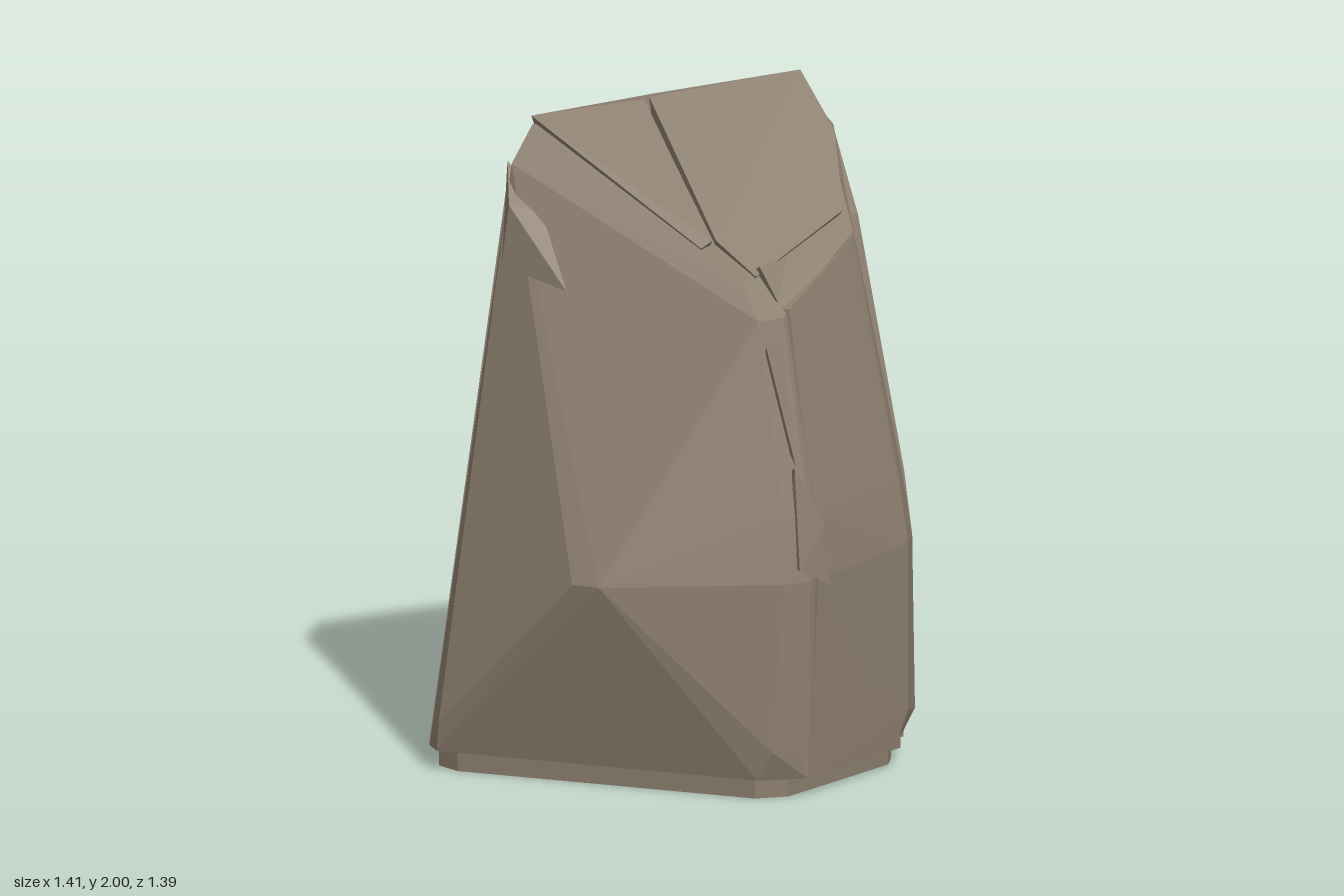
import * as THREE from 'three';
import { ConvexGeometry } from 'three/addons/geometries/ConvexGeometry.js';

const stone = new THREE.MeshStandardMaterial({ color: 0x8a7d6d, flatShading: true });
stone.name = 'stone brown';

const V = (x, y, z) => new THREE.Vector3(x, y, z);

// Two points either side of a ridge, giving it a narrow bevel
function bevel({ x, y, z }, w = 0.045) {
  const r = Math.hypot(x, z), dx = (-z / r) * w, dz = (x / r) * w;
  return [V(x + dx, y, z + dz), V(x - dx, y, z - dz)];
}

// Faceted chunk around a handful of corners
function chunk(name, points) {
  const mesh = new THREE.Mesh(new ConvexGeometry(points), stone);
  mesh.name = name;
  return mesh;
}

// Surface slab: outer corners plus copies sunk toward the middle
function slab(name, corners, sink) {
  const middle = V(0.1, 1.1, -0.1);
  return chunk(name, [...corners, ...corners.map(p => p.clone().lerp(middle, sink))]);
}

// Slightly raised face between two ridges, leaving the ridges as recessed bands
function panel(name, ridgeA, ridgeB) {
  const inset = 0.065, lift = 0.03, depth = 0.08, points = [];
  ridgeA.forEach((a, i) => {
    const b = ridgeB[i], t = inset / a.distanceTo(b);
    const out = V(a.z - b.z, 0, b.x - a.x).normalize();
    if (out.x * (a.x + b.x) + out.z * (a.z + b.z) < 0) out.negate();
    for (const s of [t, 1 - t]) {
      const p = a.clone().lerp(b, s);
      points.push(p.clone().addScaledVector(out, lift), p.clone().addScaledVector(out, -depth));
    }
  });
  return chunk(name, points);
}

// Ridge lines, bottom to top
const ridges = {
  front: [V(-0.2, 0.06, 0.665), V(-0.17, 0.66, 0.67), V(-0.14, 0.85, 0.635), V(-0.08, 1.42, 0.46)],
  frontRight: [V(0.38, 0.06, 0.56), V(0.42, 0.68, 0.54), V(0.42, 0.86, 0.5), V(0.39, 1.6, 0.32)],
  right: [V(0.54, 0.06, -0.02), V(0.67, 0.52, -0.01), V(0.7, 0.87, -0.04), V(0.63, 1.82, -0.06)],
  backRight: [V(0.25, 0.06, -0.43), V(0.41, 0.5, -0.48), V(0.57, 1.43, -0.55)],
  back: [V(-0.24, 0.06, -0.635), V(-0.13, 0.35, -0.655), V(0.11, 1.43, -0.685)],
  left: [V(-0.69, 0.06, -0.365), V(-0.623, 0.35, -0.376), V(-0.29, 1.79, -0.43)],
};

export function createModel() {
  const rock = new THREE.Group();
  rock.name = 'rock';

  // Main body: bevelled ridges, chipped bottom corners, shoulders under the crown
  rock.add(chunk('body', [
    ...ridges.front.slice(1).flatMap(p => bevel(p)),
    ...ridges.frontRight.slice(1).flatMap(p => bevel(p)),
    ...ridges.right.flatMap(p => bevel(p)),
    ...ridges.backRight.flatMap(p => bevel(p, 0.035)),
    ...ridges.back.flatMap(p => bevel(p)),
    ...ridges.left.flatMap(p => bevel(p, 0.04)),
    V(-0.15, 0.06, 0.695), V(-0.28, 0.06, 0.61), V(-0.26, 0.15, 0.655), V(-0.18, 0.15, 0.685),
    V(0.29, 0.06, 0.607), V(0.36, 0.17, 0.595), V(0.45, 0.15, 0.53), V(0.45, 0.06, 0.47),
    ...bevel(V(-0.07, 1.51, 0.37), 0.03), V(0.5, 1.81, 0.11), V(0.635, 1.88, -0.1),
    V(0.57, 1.87, -0.1), V(0.5, 1.52, -0.565), V(0.12, 1.54, -0.64), V(-0.71, 0.15, -0.32),
    ...bevel(V(-0.6, 0.64, 0.2)), V(-0.23, 1.895, -0.415),
  ]));

  // Raised faces between the ridges
  rock.add(panel('frontFace', ridges.front, ridges.frontRight));
  rock.add(panel('rightFace', ridges.frontRight, ridges.right));
  rock.add(panel('backFace', ridges.backRight, ridges.back));
  rock.add(panel('backLeftFace', ridges.back, ridges.left));

  // Undercut foot
  const foot = [[-0.18, 0.64], [-0.27, 0.59], [0.32, 0.55], [0.39, 0.49], [0.47, 0.02],
    [0.22, -0.4], [-0.25, -0.55], [-0.66, -0.37], [-0.67, -0.28]];
  rock.add(chunk('foot', foot.flatMap(([x, z]) => [V(x, 0, z), V(x, 0.08, z)])));

  // Crown slabs, with a crack left open between the two front ones
  const peakLeft = V(-0.23, 1.92, -0.42), peakRight = V(0.53, 2, -0.05);
  rock.add(slab('crownLeft', [peakLeft, V(0.09, 1.95, -0.27), V(-0.085, 1.62, 0.21),
    V(-0.12, 1.6, 0.2)], 0.2));
  rock.add(slab('crownRight', [V(0.105, 1.957, -0.265), V(-0.073, 1.62, 0.215),
    V(-0.05, 1.53, 0.365), V(0.36, 1.66, 0.315), V(0.5, 1.85, 0.13), peakRight], 0.14));
  rock.add(slab('crownBack', [peakLeft, V(0.1, 1.955, -0.27), peakRight, V(0.55, 1.88, -0.14),
    V(0.53, 1.54, -0.555), V(0.48, 1.54, -0.58), V(0.13, 1.57, -0.65), V(0.08, 1.59, -0.63)], 0.08));

  // Raised splinters along the ridges
  rock.add(chunk('leftSplinter', [V(-0.38, 1.68, -0.36), V(-0.3, 1.79, -0.45), V(-0.32, 1.66, -0.28),
    V(-0.39, 1.46, -0.1), V(-0.41, 1.5, -0.36), V(-0.25, 1.5, -0.3)]));
  rock.add(chunk('frontSplinter', [V(-0.17, 0.7, 0.68), V(-0.05, 0.64, 0.685), V(-0.05, 0.82, 0.665),
    V(-0.13, 1.0, 0.615), V(-0.14, 0.7, 0.58), V(-0.1, 0.95, 0.54)]));
  rock.add(chunk('upperFrontSplinter', [V(-0.13, 1.35, 0.492), V(-0.065, 1.37, 0.49),
    V(-0.12, 1.0, 0.61), V(-0.09, 1.2, 0.42)]));
  rock.add(chunk('crownSplinter', [V(-0.04, 1.56, 0.37), V(0.07, 1.57, 0.37), V(-0.03, 1.46, 0.44),
    V(0, 1.5, 0.25)]));
  return rock;
}
